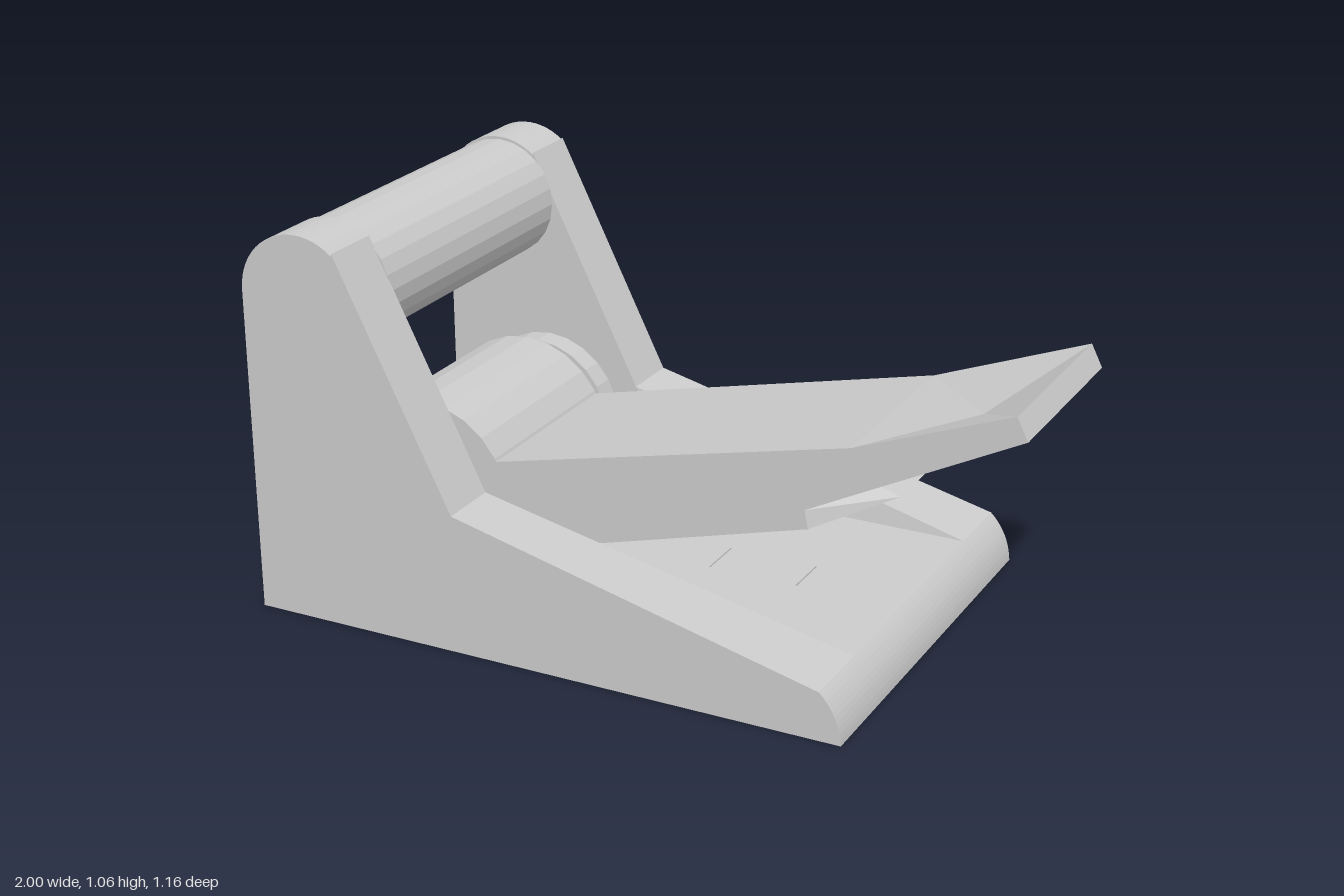
import * as THREE from 'three';
import { ConvexGeometry } from 'three/addons/geometries/ConvexGeometry.js';

const material = new THREE.MeshStandardMaterial({ color: 0xcccccc, flatShading: true });

export function createModel() {
  const model = new THREE.Group();
  const add = (name, geometry) => {
    const mesh = new THREE.Mesh(geometry, material);
    mesh.name = name;
    model.add(mesh);
  };
  // Profile in x/y extruded along z from z0 to z1
  const slab = (name, shape, z0, z1) =>
    add(name, new THREE.ExtrudeGeometry(shape, { depth: z1 - z0, bevelEnabled: false, curveSegments: 10 }).translate(0, 0, z0));
  // Cylinder lying along z
  const roller = (name, x, y, r, z0, z1) =>
    add(name, new THREE.CylinderGeometry(r, r, z1 - z0, 24).rotateX(Math.PI / 2).translate(x, y, (z0 + z1) / 2));

  // Side plates with rounded upper corner and rounded toe
  const plate = new THREE.Shape();
  plate.moveTo(-1, 0);
  plate.lineTo(0.68, 0);
  plate.quadraticCurveTo(0.675, 0.08, 0.62, 0.132);
  plate.lineTo(-0.4, 0.383);
  plate.lineTo(-0.72, 1.03);
  plate.absarc(-0.83, 0.893, 0.17, 0.88, Math.PI, false);
  plate.closePath();
  slab('rightSidePlate', plate, -0.58, -0.412);
  slab('leftSidePlate', plate, 0.412, 0.58);

  // Floor between the plates, with two hairline slots
  const floor = new THREE.Shape();
  floor.moveTo(-0.26, -0.412);
  floor.lineTo(0.62, -0.412);
  floor.lineTo(0.62, 0.412);
  floor.lineTo(-0.26, 0.412);
  floor.closePath();
  for (const x of [0.08, 0.33]) {
    const slot = new THREE.Path();
    slot.moveTo(x - 0.002, -0.08);
    slot.lineTo(x - 0.002, 0.05);
    slot.lineTo(x + 0.002, 0.05);
    slot.lineTo(x + 0.002, -0.08);
    slot.closePath();
    floor.holes.push(slot);
  }
  add('floor', new THREE.ExtrudeGeometry(floor, { depth: 0.132, bevelEnabled: false })
    .rotateX(-Math.PI / 2));

  // Rounded front edge of the floor
  const nose = new THREE.Shape();
  nose.moveTo(0.62, 0);
  nose.lineTo(0.68, 0);
  nose.quadraticCurveTo(0.675, 0.08, 0.62, 0.132);
  nose.closePath();
  slab('floorNose', nose, -0.412, 0.412);

  // Sloping fillets along the inside of the plates
  for (const s of [-1, 1]) {
    add('innerFillet', new ConvexGeometry([
      [-0.4, 0.383, 0.412], [-0.4, 0, 0.412], [-0.26, 0.132, 0.37], [-0.26, 0, 0.37],
      [0.62, 0.132, 0.37], [0.62, 0, 0.37], [0.62, 0.132, 0.412], [0.62, 0, 0.412],
    ].map(([x, y, z]) => new THREE.Vector3(x, y, s * z))));
  }

  // Upper crossbar, lower axle, its flanges and the large pedal hub
  roller('upperCrossbar', -0.83, 0.888, 0.168, -0.415, 0.415);
  roller('lowerAxle', -0.68, 0.28, 0.168, -0.35, 0.35);
  roller('leftFlange', -0.68, 0.28, 0.22, 0.345, 0.415);
  roller('rightFlange', -0.68, 0.28, 0.22, -0.415, -0.345);
  roller('pedalHub', -0.68, 0.28, 0.25, -0.285, 0.258);

  add('pedal', pedalGeometry());
  return model;
}

// Pedal lofted across its width; the ledge underneath reaches further forward in the middle
function pedalGeometry() {
  const section = (ridge, ledgeTop, ledgeBottom) => [
    [-0.5, 0.388], [0.55, 0.63], [0.97, 0.79], [1, 0.73],
    ridge, ledgeTop, ledgeBottom, [-0.5, 0.13],
  ];
  const edge = section([0.6, 0.527], [0.43, 0.44], [0.44, 0.39]);
  const middle = section([0.6, 0.492], [0.52, 0.465], [0.61, 0.437]);
  // The inner sections run out to the pedal's corners along the top and the tip
  const rows = [[edge, 0.258, 0.258], [middle, 0.258, 0.07], [middle, -0.285, -0.1], [edge, -0.285, -0.285]]
    .map(([points, zTop, zUnder]) => points.map(([x, y], i) => [x, y, i < 4 ? zTop : zUnder]));
  const positions = [];
  const tri = (a, b, c) => positions.push(...a, ...b, ...c);
  const n = edge.length;

  // Skin between neighbouring sections, leaving the dished tip open
  for (let r = 0; r < 3; r++) {
    for (let i = 0; i < n; i++) {
      if (i === 1) continue;
      const j = (i + 1) % n;
      const [a, b, c, d] = [rows[r][i], rows[r][j], rows[r + 1][j], rows[r + 1][i]];
      tri(a, b, c);
      tri(a, c, d);
    }
  }

  // Shallow four-sided dish on the tip
  const dish = [rows[0][1], rows[0][2], rows[3][2], rows[3][1]];
  const centre = [0.79, 0.665, -0.013];
  dish.forEach((p, i) => tri(p, dish[(i + 1) % 4], centre));

  // Flat sides
  const contour = edge.map(([x, y]) => new THREE.Vector2(x, y));
  for (const [a, b, c] of THREE.ShapeUtils.triangulateShape(contour, [])) {
    const area = (contour[b].x - contour[a].x) * (contour[c].y - contour[a].y)
      - (contour[b].y - contour[a].y) * (contour[c].x - contour[a].x);
    const [p, q] = area > 0 ? [b, c] : [c, b];
    tri(rows[0][a], rows[0][p], rows[0][q]);
    tri(rows[3][a], rows[3][q], rows[3][p]);
  }
  const geometry = new THREE.BufferGeometry();
  geometry.setAttribute('position', new THREE.Float32BufferAttribute(positions, 3));
  geometry.computeVertexNormals();
  return geometry;
}
